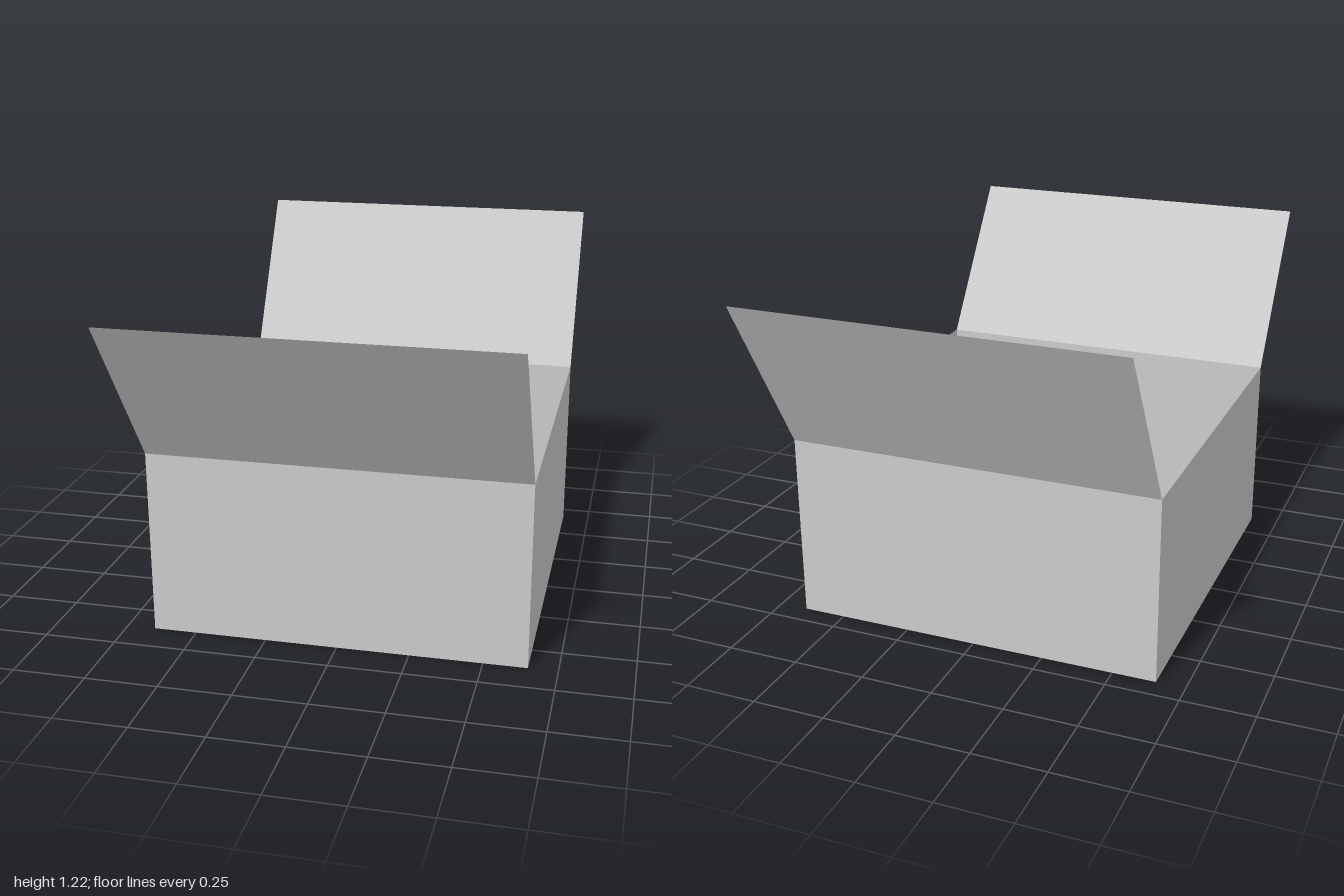
import * as THREE from 'three';

const WIDTH = 1.3, HEIGHT = 0.65, FLAP = 0.653;
const FRONT_Z = 0.625, BACK_Z = -0.675;
const DEPTH = FRONT_Z - BACK_Z, MID_Z = (FRONT_Z + BACK_Z) / 2;

export function createModel() {
  const box = new THREE.Group();
  box.name = 'openBox';
  const card = new THREE.MeshStandardMaterial({
    color: 0xcccccc, side: THREE.DoubleSide, flatShading: true,
  });

  // Thin upright sheet facing +z, standing on its own bottom edge
  function sheet(name, width, height) {
    const geometry = new THREE.PlaneGeometry(width, height).translate(0, height / 2, 0);
    const mesh = new THREE.Mesh(geometry, card);
    mesh.name = name;
    return mesh;
  }

  // Floor, facing down
  const floor = sheet('floor', WIDTH, DEPTH);
  floor.rotation.x = Math.PI / 2;
  floor.position.z = BACK_Z;
  box.add(floor);

  // Left and right walls
  for (const [name, side] of [['leftWall', 1], ['rightWall', -1]]) {
    const wall = sheet(name, DEPTH, HEIGHT);
    wall.rotation.y = side * Math.PI / 2;
    wall.position.set(side * WIDTH / 2, 0, MID_Z);
    box.add(wall);
  }

  // Front and back walls, each with a flap hinged outward from its top edge
  const ends = [
    { name: 'front', z: FRONT_Z, turn: 0, tilt: Math.atan2(0.375, 0.535) },
    { name: 'back', z: BACK_Z, turn: Math.PI, tilt: Math.atan2(0.325, 0.565) },
  ];
  for (const { name, z, turn, tilt } of ends) {
    const end = new THREE.Group();
    end.name = name + 'End';
    const flap = sheet(name + 'Flap', WIDTH, FLAP);
    flap.position.y = HEIGHT;
    flap.rotation.x = tilt;
    end.add(sheet(name + 'Wall', WIDTH, HEIGHT), flap);
    end.position.z = z;
    end.rotation.y = turn;
    box.add(end);
  }
  return box;
}
